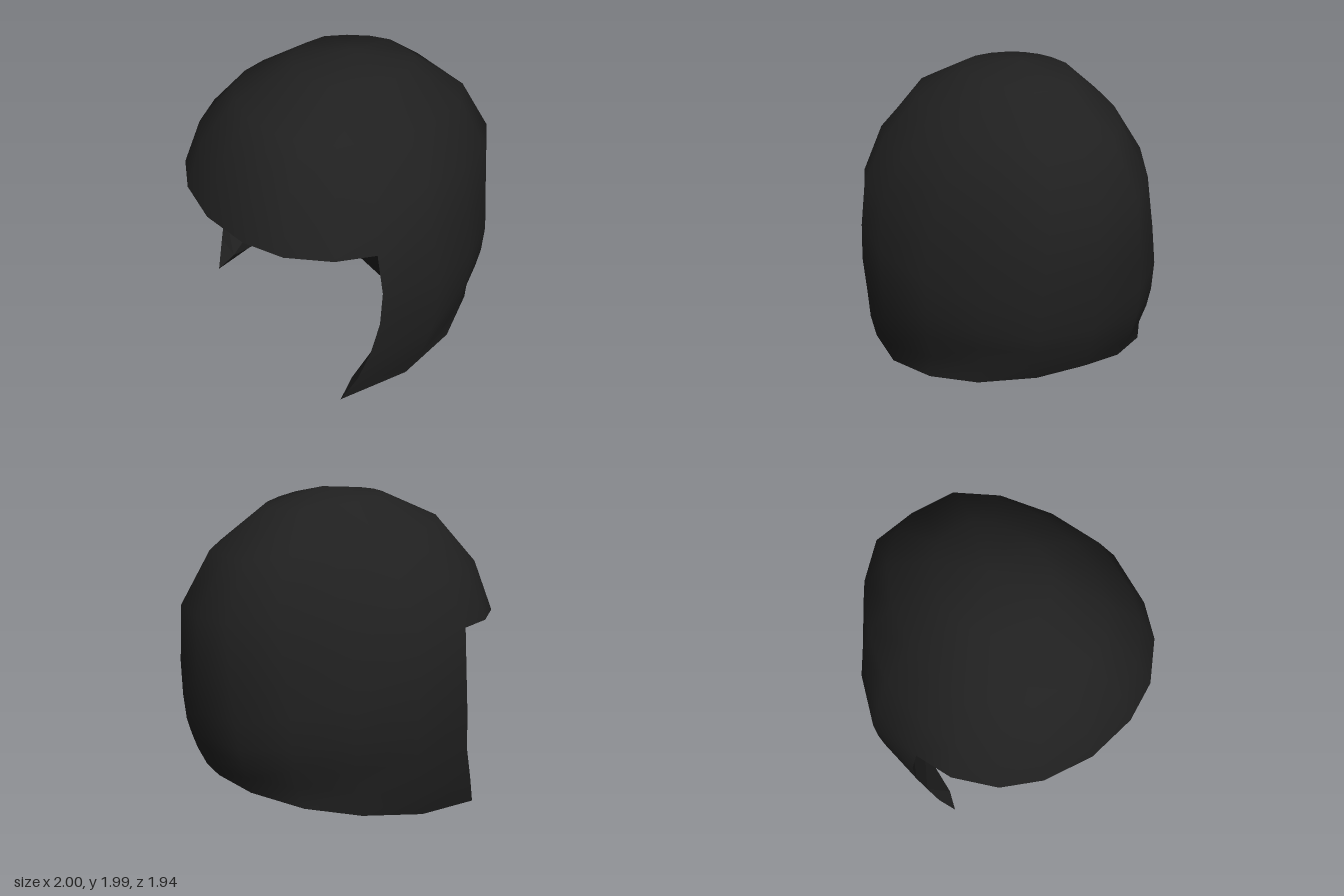
import * as THREE from 'three';

const V = (x, y, z) => new THREE.Vector3(x, y, z);
const flip = (p) => V(p.x, p.y, -p.z);

// Unit outline of one half of a ring, from the brow (-x) round to the back (+x)
const OUTLINE = [
  [-1, 0], [-0.95, 0.36], [-0.83, 0.63], [-0.61, 0.85], [-0.375, 0.955],
  [0, 1], [0.38, 0.865], [0.715, 0.645], [0.945, 0.37], [1, 0],
];
const CHEEK = 4, BACK = 9, BROW = 4;

// Rings from crown down: centre x, front x, front y, half width, side y, back x, back y, back fullness
const RINGS = [
  [0.09, 0.09, 1.99, 0, 1.99, 0.09, 1.99, 0],
  [0.09, -0.3, 1.95, 0.33, 1.925, 0.47, 1.875, 0.04],
  [0.05, -0.68, 1.785, 0.59, 1.72, 0.78, 1.61, 0.14],
  [0.04, -0.9, 1.52, 0.8, 1.47, 0.985, 1.26, 0.05],
  [0, -1, 1.195, 0.92, 1.2, 1, 0.88, 0],
  [0.03, -1, 0.9, 0.97, 0.88, 0.98, 0.66, 0],
  [0.03, -1, 0.7, 0.962, 0.62, 0.96, 0.5, 0],
  [0.01, -1, 0.4, 0.945, 0.42, 0.93, 0.4, 0],
  [-0.03, -1, 0.2, 0.9, 0.2, 0.9, 0.31, 0],
];

// Front edge of the cheek, from the brow corner down to the tip
const EDGE = [
  V(-0.375, 1.195, 0.88), V(-0.36, 0.92, 0.92), V(-0.375, 0.68, 0.92),
  V(-0.415, 0.41, 0.88), V(-0.48, 0.2, 0.84), V(-0.56, 0, 0.77),
];

// Bottom edge, from the cheek tip to the middle of the back
const HEM = [
  EDGE[5], V(-0.1, 0.04, 0.85), V(0.3, 0.095, 0.78),
  V(0.6, 0.145, 0.6), V(0.8, 0.19, 0.3), V(0.865, 0.222, 0),
];

// Inner arch between face opening and neck opening, from the roof down
const ARCH = [V(-0.03, 0.56, 0.75), V(-0.17, 0.38, 0.74), V(-0.45, 0.1, 0.735)];

// One half row of shell points
function halfRow(r) {
  return OUTLINE.map(([ux, uz], c) => {
    if (r >= BROW && c === CHEEK || r > BROW && c < CHEEK) return EDGE[r - BROW];
    if (r === RINGS.length) return HEM[c - CHEEK];
    const [cx, xf, yf, w, ys, xb, yb, full] = RINGS[r];
    // the dome is fuller on its back diagonals
    const bulge = 1 + full * Math.max(ux, 0) * uz;
    const x = cx + bulge * ux * (ux < 0 ? cx - xf : xb - cx);
    const y = ys + Math.abs(ux) * ((ux < 0 ? yf : yb) - ys);
    return V(x, r === BROW && ux < 0 ? yf : y, bulge * w * uz);
  });
}

function createShell(rows) {
  const points = [], index = [];
  const n = 2 * BACK;
  rows.forEach((half) => points.push(...half, ...half.slice(1, BACK).reverse().map(flip)));
  for (let r = 0; r < rows.length - 1; r++) {
    for (let c = 0; c < n; c++) {
      // below the brow only the cheeks and back continue
      if (r >= BROW && (c < CHEEK || c >= n - CHEEK)) continue;
      const a = r * n + c, b = r * n + (c + 1) % n;
      index.push(a + n, b + n, b);
      if (r > 0) index.push(a, a + n, b);
    }
  }
  // every crown corner shares one point so that shading stays smooth
  const merged = index.map((i) => (i < n ? 0 : i));
  const geo = new THREE.BufferGeometry().setFromPoints(points);
  geo.setIndex(merged);
  geo.computeVertexNormals();
  return geo;
}

function createLining(brow) {
  const pts = [];
  // adds a triangle on both sides of the helmet
  const tri = (a, b, c) => pts.push(a, b, c, flip(c), flip(b), flip(a));
  const [A, B, C, D, E] = EDGE;
  const [tip, side, G, H, I, K] = HEM;
  const [P, Q, R] = ARCH;
  const M = V(A.x, A.y, 0), N = V(P.x, P.y, 0);
  // underside of the brow
  for (let c = 0; c < CHEEK; c++) tri(M, brow[c + 1], brow[c]);
  // face recess, from brow and cheek edges in to the arch
  tri(M, N, P);
  tri(M, P, A);
  tri(A, P, B);
  tri(B, P, C);
  tri(C, P, Q);
  tri(C, Q, D);
  tri(D, Q, R);
  tri(D, R, E);
  tri(E, R, tip);
  // neck opening, from the arch out to the hem
  tri(N, K, P);
  tri(P, K, I);
  tri(P, I, H);
  tri(P, H, G);
  tri(P, G, Q);
  tri(Q, G, R);
  tri(R, G, side);
  tri(R, side, tip);
  const geo = new THREE.BufferGeometry().setFromPoints(pts);
  geo.computeVertexNormals();
  return geo;
}

export function createModel() {
  const group = new THREE.Group();
  group.name = 'helmet';
  const material = new THREE.MeshStandardMaterial({ color: 0x202020, side: THREE.DoubleSide });
  const rows = Array.from({ length: RINGS.length + 1 }, (_, r) => halfRow(r));

  const shell = new THREE.Mesh(createShell(rows), material);
  shell.name = 'shell';
  const lining = new THREE.Mesh(createLining(rows[BROW]), material);
  lining.name = 'lining';
  group.add(shell, lining);
  return group;
}
